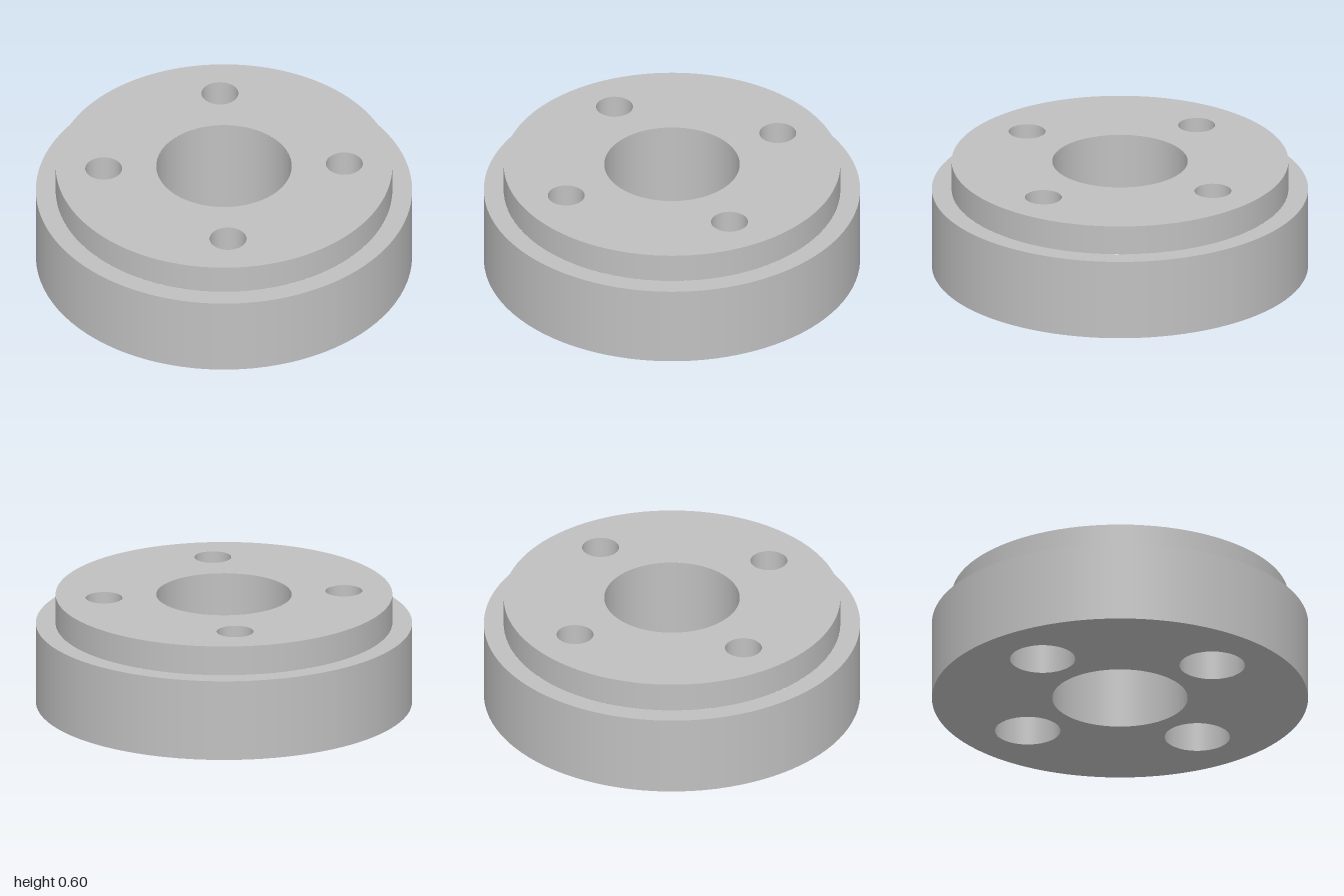
import * as THREE from 'three';

const SEG = 96;
const BODY_R = 1, LIP_R = 0.895, BORE_R = 0.36, BOLT_R = 0.098, POCKET_R = 0.174;
const STEP_Y = 0.44, TOP_Y = 0.6, BOLT_CIRCLE = 0.64;

export function createModel() {
  const group = new THREE.Group();
  const metal = new THREE.MeshStandardMaterial({ color: 0xc0c0c0 });
  metal.name = 'grey metal';

  const add = (name, geometry, x = 0, z = 0) => {
    const mesh = new THREE.Mesh(geometry, metal);
    mesh.name = name;
    mesh.position.set(x, 0, z);
    group.add(mesh);
  };

  // Round wall from y0 to y1: rising faces outward, falling faces inward
  const wall = (r, y0, y1) =>
    new THREE.LatheGeometry([new THREE.Vector2(r, y0), new THREE.Vector2(r, y1)], SEG);

  // Flat disc with round holes [x, z, radius], facing up or down
  const face = (r, holes, y, up) => {
    const shape = new THREE.Shape().absarc(0, 0, r, 0, Math.PI * 2);
    for (const [x, z, hr] of holes) {
      shape.holes.push(new THREE.Path().absarc(x, z, hr, 0, Math.PI * 2, true));
    }
    return new THREE.ShapeGeometry(shape, SEG).rotateX(up ? -Math.PI / 2 : Math.PI / 2).translate(0, y, 0);
  };

  const bolts = [[1, 0], [0, 1], [-1, 0], [0, -1]].map(([x, z]) => [x * BOLT_CIRCLE, z * BOLT_CIRCLE]);
  const bore = [0, 0, BORE_R];

  // Wide body and narrower raised lip
  add('bodyWall', wall(BODY_R, 0, STEP_Y));
  add('lipWall', wall(LIP_R, STEP_Y, TOP_Y));
  add('stepFace', face(BODY_R, [[0, 0, LIP_R]], STEP_Y, true));
  add('topFace', face(LIP_R, [bore, ...bolts.map(([x, z]) => [x, z, BOLT_R])], TOP_Y, true));
  add('bottomFace', face(BODY_R, [bore, ...bolts.map(([x, z]) => [x, z, POCKET_R])], 0, false));
  add('centreBore', wall(BORE_R, TOP_Y, 0));

  // Bolt holes, each widening to a pocket underneath
  for (const [x, z] of bolts) {
    add('boltHole', wall(BOLT_R, TOP_Y, STEP_Y), x, z);
    add('boltPocket', wall(POCKET_R, STEP_Y, 0), x, z);
    add('pocketSeat', face(POCKET_R, [[0, 0, BOLT_R]], STEP_Y, false), x, z);
  }
  return group;
}
